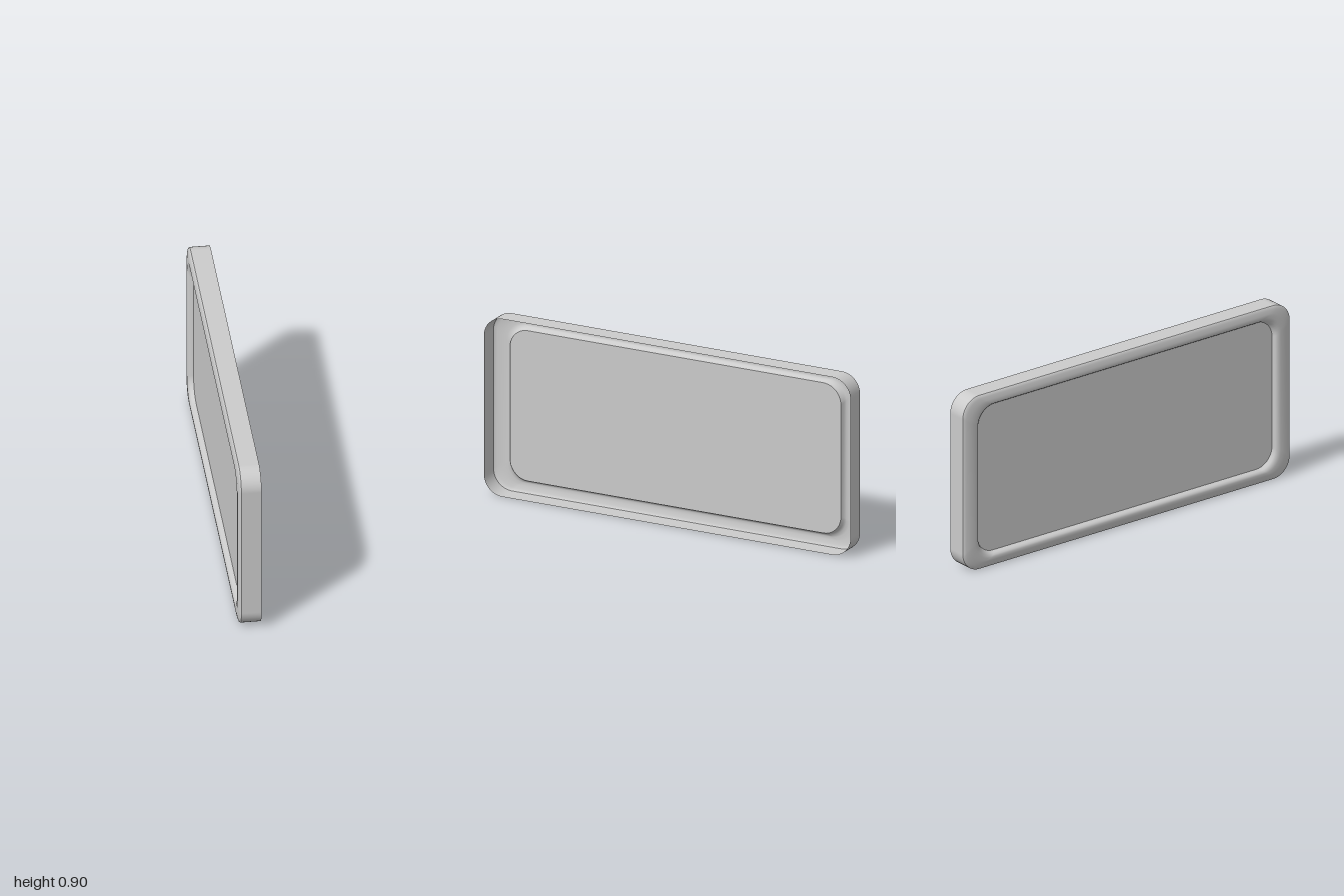
import * as THREE from 'three';

const MID_Y = 0.4525;
const CORNER_STEPS = 10;

// Rounded rectangle in the z-y plane: [x, half length, half height, corner radius]
function ring([x, a, b, r]) {
  const points = [];
  for (let corner = 0; corner < 4; corner++) {
    const cz = (corner === 0 || corner === 3 ? 1 : -1) * (a - r);
    const cy = (corner < 2 ? 1 : -1) * (b - r);
    for (let i = 0; i <= CORNER_STEPS; i++) {
      const t = (corner + i / CORNER_STEPS) * Math.PI / 2;
      points.push(x, MID_Y + cy + r * Math.sin(t), cz + r * Math.cos(t));
    }
  }
  return points;
}

// Skin a series of rounded rectangles
function loft(name, sections, material) {
  const n = 4 * (CORNER_STEPS + 1);
  const index = [];
  for (let s = 0; s < sections.length - 1; s++) {
    for (let i = 0; i < n; i++) {
      const a = s * n + i, b = s * n + (i + 1) % n;
      index.push(a, b, b + n, a, b + n, a + n);
    }
  }
  const geometry = new THREE.BufferGeometry();
  geometry.setAttribute('position', new THREE.Float32BufferAttribute(sections.flatMap(ring), 3));
  geometry.setIndex(index);
  geometry.computeVertexNormals();
  const mesh = new THREE.Mesh(geometry, material);
  mesh.name = name;
  return mesh;
}

export function createModel() {
  const group = new THREE.Group();
  group.name = 'shallowTray';
  const material = new THREE.MeshStandardMaterial({ color: 0xcccccc, side: THREE.DoubleSide });

  // Thin side wall, open towards +x
  group.add(loft('sideWall', [
    [0.056, 1, 0.4525, 0.1],
    [-0.042, 1, 0.4525, 0.1],
  ], material));

  // Softly rounded rim that rolls over into the recess
  group.add(loft('rim', [
    [-0.042, 1, 0.4525, 0.1],
    [-0.047, 0.996, 0.4485, 0.098],
    [-0.051, 0.984, 0.438, 0.097],
    [-0.055, 0.962, 0.42, 0.096],
    [-0.056, 0.935, 0.405, 0.096],
    [-0.053, 0.92, 0.396, 0.096],
    [-0.045, 0.91, 0.389, 0.097],
    [-0.028, 0.903, 0.383, 0.098],
  ], material));

  // Flat recessed panel
  group.add(loft('recessedPanel', [
    [-0.028, 0.903, 0.383, 0.098],
    [-0.028, 0, 0, 0],
  ], material));

  return group;
}
